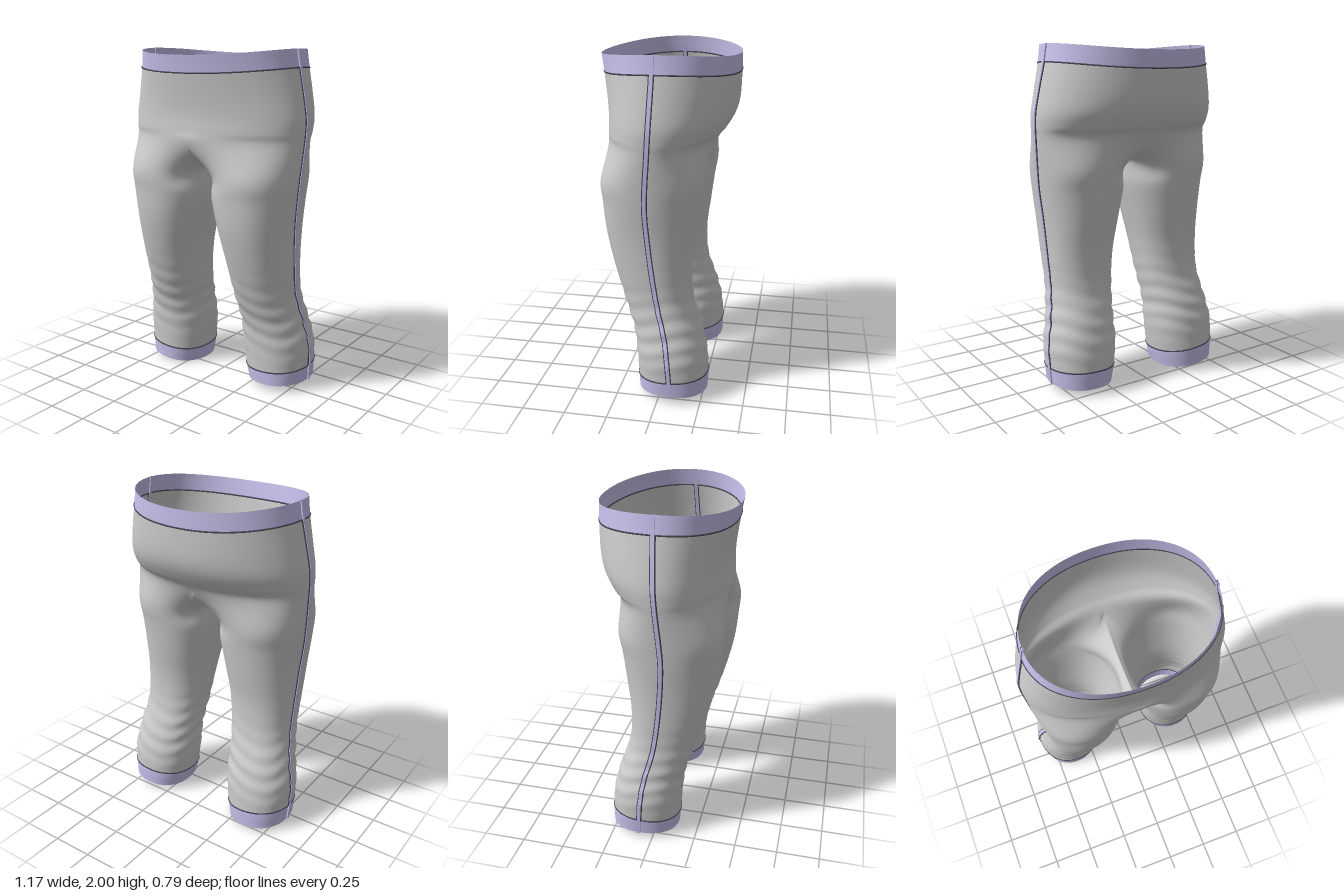
import * as THREE from 'three';
import { mergeVertices, mergeGeometries } from 'three/addons/utils/BufferGeometryUtils.js';

const GREY = 0xcccccc, LILAC = 0xc9c0ec, STITCH = 0x4a4756;
const M = 36, Q = 24, RING = 2 * M + Q; // outer columns run 0..2M, inner thigh columns 2M..RING
const STEP = 8;                         // rows between two key sections
const SPREAD = THREE.MathUtils.degToRad(130);

// Leg sections: y, inner x, outer x, front z, back z, side seam z
const LEG = [
  [0.03, 0.195, 0.565, 0.13, -0.275, -0.08],
  [0.13, 0.175, 0.572, 0.135, -0.277, -0.075],
  [0.28, 0.155, 0.575, 0.145, -0.265, -0.065],
  [0.42, 0.155, 0.548, 0.165, -0.23, -0.045],
  [0.6, 0.135, 0.518, 0.225, -0.175, 0.0],
  [0.8, 0.11, 0.52, 0.285, -0.165, 0.03],
  [1.0, 0.07, 0.53, 0.33, -0.19, 0.05],
  [1.17, 0.036, 0.547, 0.348, -0.213, 0.06],
  [1.3, 0.034, 0.558, 0.354, -0.232, 0.055],
];
// Torso sections: y, outer x, front z, back z, side seam z (the first one holds the crotch)
const TORSO = [
  [1.48, 0.572, 0.352, -0.268, 0.04],
  [1.55, 0.576, 0.35, -0.32, 0.035],
  [1.63, 0.574, 0.347, -0.365, 0.03],
  [1.75, 0.552, 0.355, -0.386, 0.025],
  [1.9, 0.52, 0.376, -0.392, 0.02],
  [2.0, 0.503, 0.392, -0.392, 0.02],
];
const JOIN = LEG.length * STEP;
const BAND = (LEG.length + TORSO.length - 2) * STEP;
const TOP = BAND + STEP;

const spow = (v, e) => Math.sign(v) * Math.abs(v) ** e;

function legPoint([y, xi, xo, zf, zb, zc], j, key, side) {
  const a = j <= 2 * M ? (j / M - 1) * SPREAD
    : SPREAD + ((j - 2 * M) / Q) * (2 * Math.PI - 2 * SPREAD);
  const c = spow(Math.cos(a), 0.9), s = spow(Math.sin(a), 0.9);
  const u = (c + 1) / 2;
  // the hems tilt a little differently on each leg
  if (key === 0) y = side > 0 ? 0.035 + 0.015 * u : 0.002 + 0.038 * u;
  if (key === 1) y = (side > 0 ? 0.125 + 0.02 * u : 0.1 + 0.04 * u) - 0.012 * s;
  return new THREE.Vector3(xi + (xo - xi) * u, y, zc + s * (s > 0 ? zf - zc : zc - zb));
}

function torsoPoint([y, xo, zf, zb, zc], j) {
  if (j > 2 * M) { // saddle between the legs
    const t = Math.PI * (j - 2 * M) / Q;
    return new THREE.Vector3(0, y - 0.135 * Math.sin(t), (zf + zb) / 2 + Math.cos(t) * (zf - zb) / 2);
  }
  const b = (j / M - 1) * Math.PI / 2;
  const c = Math.max(0, Math.cos(b)) ** 0.93, s = spow(Math.sin(b), 0.93);
  const z = zc + s * (s > 0 ? zf - zc : zc - zb);
  const dip = y > 1.7 ? 0.033 * (z / 0.39) ** 2 : 0;
  return new THREE.Vector3(c < 1e-6 ? 0 : xo * c, y - dip, z);
}

// One vertical column of cloth, smooth from hem to waist (or to the crotch)
function column(j, side) {
  const pts = LEG.map((s, key) => legPoint(s, j, key, side));
  const upper = j > 2 * M ? TORSO.slice(0, 1) : TORSO;
  pts.push(...upper.map(s => torsoPoint(s, j)));
  const curve = new THREE.CatmullRomCurve3(pts, false, 'catmullrom', 0.5);
  const n = (pts.length - 1) * STEP;
  return Array.from({ length: n + 1 }, (_, k) => {
    const p = curve.getPoint(k / n);
    // soft folds around the calf and knee
    const e = 0.022 * Math.exp(-(((p.y - 0.45) / 0.2) ** 2))
      * Math.sin(p.y * 62 + 2.2 * Math.sin(j / RING * Math.PI * 4 + side));
    p.x = (p.x + (p.x - 0.35) * e) * side;
    p.z += (p.z + 0.02) * e;
    return p;
  });
}

// Surface through rows of points
function skin(rows, closed, flip) {
  const n = rows[0].length, idx = [];
  for (let r = 0; r < rows.length - 1; r++) {
    for (let i = 0; i < (closed ? n : n - 1); i++) {
      const a = r * n + i, b = r * n + (i + 1) % n, c = a + n, d = b + n;
      if (flip) idx.push(a, b, c, b, d, c);
      else idx.push(a, c, b, b, c, d);
    }
  }
  const g = new THREE.BufferGeometry().setFromPoints(rows.flat());
  g.setIndex(idx);
  return g;
}

function smooth(parts) {
  const g = mergeVertices(mergeGeometries(parts), 1e-4);
  g.computeVertexNormals();
  return g;
}

export function createModel() {
  const group = new THREE.Group();
  const add = (name, geometry, color) => {
    const mesh = new THREE.Mesh(geometry, new THREE.MeshStandardMaterial({ color, side: THREE.DoubleSide }));
    mesh.name = name;
    group.add(mesh);
  };
  const stitch = (name, pts, closed) => add(name,
    new THREE.TubeGeometry(new THREE.CatmullRomCurve3(pts, closed), pts.length * 2, 0.0045, 5, closed), STITCH);

  const body = [], waist = [], waistLine = [];
  for (const side of [1, -1]) {
    const label = side > 0 ? 'left' : 'right';
    const cols = Array.from({ length: RING }, (_, j) => column(j, side));
    const rows = (k0, k1, count) => Array.from({ length: k1 - k0 + 1 },
      (_, k) => cols.slice(0, count).map(c => c[k0 + k]));
    const flip = side < 0;

    // Leg, half of the seat, half of the waistband
    body.push(skin(rows(STEP, JOIN, RING), true, flip));
    body.push(skin(rows(JOIN, BAND, 2 * M + 1), false, flip));
    waist.push(skin(rows(BAND, TOP, 2 * M + 1), false, flip));
    const line = cols.slice(0, 2 * M + 1).map(c => c[BAND]);
    waistLine.push(...(side > 0 ? line : line.reverse()).slice(0, -1));

    // Hem cuff
    add(label + 'Cuff', smooth([skin(rows(0, STEP, RING), true, flip)]), LILAC);
    stitch(label + 'CuffStitch', cols.map(c => c[STEP]), true);

    // Raised piping down the outer side
    const path = cols[M];
    const shift = (p, dx, dz) => new THREE.Vector3(p.x + dx * side, p.y, p.z + dz);
    const piping = skin(path.map(p => [
      shift(p, -0.006, -0.01), shift(p, 0.008, -0.01), shift(p, 0.008, 0.01), shift(p, -0.006, 0.01),
    ]), true, flip).toNonIndexed();
    piping.computeVertexNormals();
    add(label + 'SidePiping', piping, LILAC);
    for (const [edge, dz] of [['Front', 0.012], ['Back', -0.012]]) {
      stitch(label + edge + 'PipingStitch', path.slice(STEP, BAND + 1).map(p => shift(p, 0.001, dz)), false);
    }
  }
  add('trouserBody', smooth(body), GREY);
  add('waistband', smooth(waist), LILAC);
  stitch('waistbandStitch', waistLine, true);
  return group;
}
